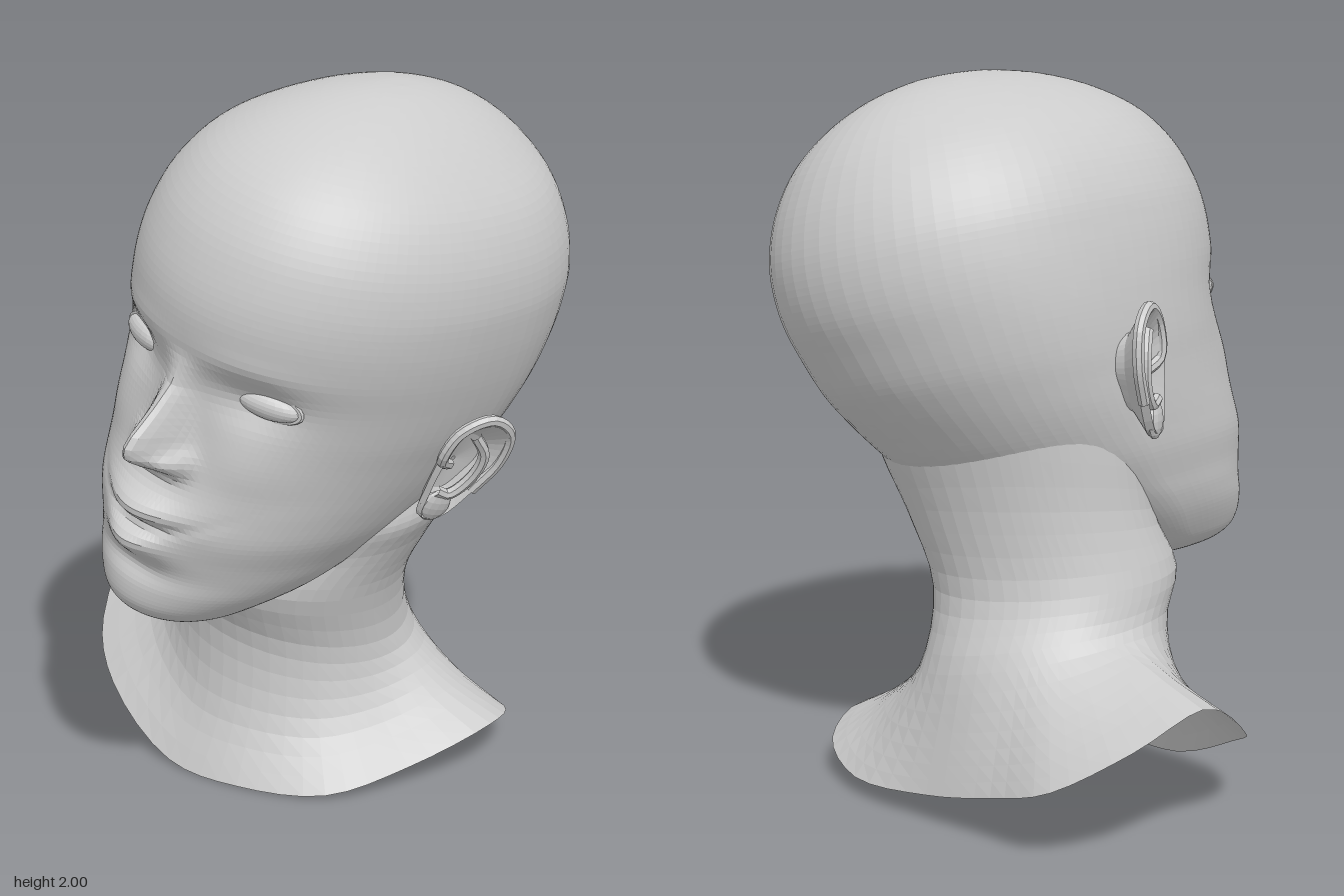
import * as THREE from 'three';

const V = (x, y, z) => new THREE.Vector3(x, y, z);
const skin = new THREE.MeshStandardMaterial({ color: 0xcccccc, flatShading: true });
const thin = new THREE.MeshStandardMaterial({ color: 0xcccccc, flatShading: true, side: THREE.DoubleSide });

function mesh(name, geometry, material = skin) {
  const m = new THREE.Mesh(geometry, material);
  m.name = name;
  return m;
}

// Joins closed rings of points, listed bottom up, into one surface
function loft(rings) {
  const n = rings[0].length, pos = [], idx = [];
  rings.forEach(r => r.forEach(p => pos.push(p.x, p.y, p.z)));
  for (let i = 0; i < rings.length - 1; i++) {
    for (let j = 0; j < n; j++) {
      const a = i * n + j, b = i * n + (j + 1) % n, c = a + n, d = b + n;
      idx.push(a, b, c, b, d, c);
    }
  }
  const g = new THREE.BufferGeometry();
  g.setAttribute('position', new THREE.Float32BufferAttribute(pos, 3));
  g.setIndex(idx);
  g.computeVertexNormals();
  return g;
}

const bump = (x, y, cx, cy, sx, sy) => Math.exp(-(((x - cx) / sx) ** 2) - ((y - cy) / sy) ** 2);

// Linear lookup in [position, value, value] rows
function lookup(rows, p) {
  if (p <= rows[0][0]) return rows[0].slice(1);
  for (let i = 1; i < rows.length; i++) {
    const a = rows[i - 1], b = rows[i];
    if (p <= b[0]) {
      const t = (p - a[0]) / (b[0] - a[0]);
      return [a[1] + (b[1] - a[1]) * t, a[2] + (b[2] - a[2]) * t];
    }
  }
  return rows[rows.length - 1].slice(1);
}

// Nose: height, projection, width
const NOSE = [[-0.29, 0, 0.06], [-0.265, 0.025, 0.06], [-0.24, 0.1, 0.058], [-0.215, 0.148, 0.056], [-0.185, 0.165, 0.052],
  [-0.15, 0.15, 0.05], [-0.08, 0.085, 0.045], [-0.02, 0.035, 0.042], [0.07, 0, 0.045]];

// Relief of the face on top of the plain skull section
function relief(x, y) {
  const s = Math.abs(x);
  const [out, width] = lookup(NOSE, y);
  return out * Math.exp(-((x / width) ** 2))
    + 0.045 * bump(s, y, 0.07, -0.225, 0.032, 0.035)   // nostril wings
    - 0.04 * bump(s, y, 0.2, -0.01, 0.1, 0.065)        // eye sockets
    + 0.008 * bump(s, y, 0.2, 0.09, 0.13, 0.04)        // brows
    + 0.02 * bump(s, y, 0.24, -0.2, 0.1, 0.1)          // cheeks
    + 0.048 * bump(x, y, 0, -0.375, 0.12, 0.042)       // upper lip
    - 0.028 * bump(x, y, 0, -0.427 + 1.5 * x * x, 0.13, 0.022)  // mouth line
    + 0.05 * bump(x, y, 0, -0.478, 0.095, 0.044)       // lower lip
    - 0.015 * bump(x, y, 0, -0.565, 0.1, 0.035);       // dent above chin
}

// Skull sections: height, front z, back z, half width, z of widest point
const SKULL = [
  [-0.752, 0.38, 0.38, 0, 0.38], [-0.745, 0.50, 0.24, 0.10, 0.36], [-0.72, 0.57, 0.15, 0.17, 0.32],
  [-0.68, 0.605, 0.08, 0.22, 0.26], [-0.62, 0.61, -0.02, 0.275, 0.2], [-0.56, 0.605, -0.12, 0.315, 0.14],
  [-0.5, 0.615, -0.23, 0.345, 0.08], [-0.42, 0.625, -0.36, 0.385, 0.02], [-0.34, 0.61, -0.45, 0.415, -0.04],
  [-0.26, 0.585, -0.52, 0.442, -0.09], [-0.18, 0.57, -0.585, 0.465, -0.12], [-0.1, 0.563, -0.64, 0.487, -0.14],
  [0, 0.568, -0.685, 0.506, -0.16], [0.1, 0.588, -0.725, 0.518, -0.16], [0.2, 0.594, -0.74, 0.522, -0.16],
  [0.3, 0.575, -0.73, 0.515, -0.16], [0.41, 0.53, -0.69, 0.48, -0.15], [0.515, 0.45, -0.62, 0.41, -0.14],
  [0.6, 0.33, -0.52, 0.302, -0.12], [0.662, 0.18, -0.39, 0.188, -0.11], [0.697, 0.02, -0.24, 0.08, -0.11],
  [0.706, -0.11, -0.11, 0, -0.11]];

function skullGeometry() {
  const along = f => new THREE.CatmullRomCurve3(SKULL.map(f), false, 'catmullrom');
  const depth = along(r => V(r[0], r[1], r[2])), breadth = along(r => V(r[0], r[3], r[4]));
  const steps = (SKULL.length - 1) * 5, columns = 104, rings = [];
  for (let i = 0; i <= steps; i++) {
    const d = depth.getPoint(i / steps), b = breadth.getPoint(i / steps), ring = [];
    for (let j = 0; j < columns; j++) {
      const s = j / columns * 2 - 1;
      const a = Math.PI * (0.5 * s + 0.5 * s ** 3);   // columns crowd towards the face
      const x = b.y * Math.sin(a), c = Math.cos(a);
      // The front half is blunter than an ellipse
      let z = b.z + (c > 0 ? c ** 0.85 * (d.y - b.z) : c * (b.z - d.z));
      if (c > 0) z += relief(x, d.x) * Math.min(1, c * 2.5);
      ring.push(V(x, d.x, z));
    }
    rings.push(ring);
  }
  return loft(rings);
}

function makeEye() {
  const eye = new THREE.Group();
  eye.name = 'eye';
  const ball = mesh('eyeball', new THREE.SphereGeometry(1, 20, 12));
  ball.scale.set(0.087, 0.036, 0.034);
  const lids = mesh('eyelids', new THREE.TorusGeometry(1, 0.12, 6, 24));
  lids.scale.set(0.088, 0.039, 0.06);
  eye.add(ball, lids);
  eye.position.set(0.222, -0.008, 0.464);
  eye.rotation.y = 0.35;
  return eye;
}

function makeEar() {
  const ear = new THREE.Group();
  ear.name = 'ear';
  const outline = [[-0.065, 0.03], [-0.055, 0.12], [0.015, 0.172], [0.085, 0.135], [0.1, 0.04],
    [0.065, -0.06], [0.01, -0.155], [-0.045, -0.16], [-0.06, -0.08]].map(p => V(p[0], p[1], 0));
  const curve = new THREE.CatmullRomCurve3(outline, true);
  const edge = curve.getPoints(36).slice(0, -1);
  // Scale and depth from the root, over the rim, into the bowl
  const shell = [[0.5, -0.1], [0.62, -0.05], [1, -0.01], [0.95, 0.012], [0.8, -0.005], [0.55, -0.035], [0.05, -0.045]];
  ear.add(mesh('earShell', loft(shell.map(([s, z]) => edge.map(p => V(p.x * s, p.y * s, z)))), thin));
  const helix = new THREE.CatmullRomCurve3([V(-0.02, 0, -0.025), ...outline.slice(0, 6)]);
  ear.add(mesh('helix', new THREE.TubeGeometry(helix, 28, 0.015, 7)));
  const fold = new THREE.CatmullRomCurve3([V(0, 0.11, -0.01), V(0.045, 0.06, 0), V(0.045, -0.02, 0), V(0.005, -0.08, 0), V(-0.035, -0.07, 0)]);
  ear.add(mesh('antihelix', new THREE.TubeGeometry(fold, 16, 0.015, 7)));
  const lobe = mesh('lobe', new THREE.SphereGeometry(1, 12, 8));
  lobe.scale.set(0.042, 0.05, 0.018);
  lobe.position.set(-0.015, -0.12, 0);
  ear.add(lobe);
  ear.position.set(0.51, -0.2, -0.06);
  ear.rotation.set(0, 1.13, -0.24, 'ZYX');
  ear.scale.setScalar(1.08);
  return ear;
}

// Cut edge of the bust, running from the front round by +x
const RIM = [[0.05, 0, 0.28], [0.3, 0.01, 0.2], [0.45, 0.06, 0], [0.57, 0.13, -0.25], [0.5, 0.09, -0.45],
  [0.3, 0.05, -0.56], [0, 0.08, -0.585], [-0.25, 0.14, -0.6], [-0.48, 0.22, -0.62], [-0.66, 0.34, -0.5],
  [-0.73, 0.42, -0.3], [-0.65, 0.25, 0], [-0.48, 0.14, 0.17], [-0.2, 0.01, 0.27]];

// Neck sections: y, centre x, centre z, radius x, radius z, rise to the side, rise to the back
const NECK = [[0.43, -0.05, -0.15, 0.35, 0.34, -0.25, 0], [0.6, -0.025, -0.075, 0.35, 0.335, -0.12, 0],
  [0.77, 0.04, -0.1, 0.365, 0.32, -0.15, 0.05], [0.94, 0.085, -0.13, 0.393, 0.338, -0.25, 0.12],
  [1.03, 0.1, -0.145, 0.385, 0.345, -0.25, 0.18]];

function neckGeometry() {
  const rim = new THREE.CatmullRomCurve3(RIM.map(p => V(...p)), true).getPoints(56).slice(0, -1);
  const columns = rim.map(p => {
    const a = Math.atan2(p.x + 0.06, p.z + 0.16);
    const up = NECK.map(([y, cx, cz, rx, rz, side, back]) => {
      const dx = rx * Math.sin(a);
      return V(cx + dx, y + side * dx - back * Math.cos(a), cz + rz * Math.cos(a));
    });
    // The flare stays tight at the throat and opens at the back
    const flare = up[0].clone().lerp(p, 0.36 - 0.24 * Math.max(0, Math.cos(a)) + 0.2 * Math.max(0, -Math.cos(a)));
    flare.y = THREE.MathUtils.lerp(up[0].y, p.y, 0.55);
    return new THREE.CatmullRomCurve3([p, flare, ...up]).getPoints(22);
  });
  return loft(columns[0].map((_, i) => columns.map(c => c[i])));
}

export function createModel() {
  const model = new THREE.Group();
  model.name = 'headBust';

  // Head, tilted sideways and turned slightly
  const head = new THREE.Group();
  head.name = 'head';
  head.position.set(0.138, 1.304, 0);
  head.rotation.set(0, -0.095, -0.253, 'ZYX');
  head.add(mesh('skullAndFace', skullGeometry()));
  for (const side of [1, -1]) {
    const half = new THREE.Group();
    half.name = side > 0 ? 'leftFeatures' : 'rightFeatures';
    half.scale.x = side;
    half.add(makeEye(), makeEar());
    head.add(half);
  }

  model.add(head, mesh('neckAndShoulders', neckGeometry(), thin));
  return model;
}
